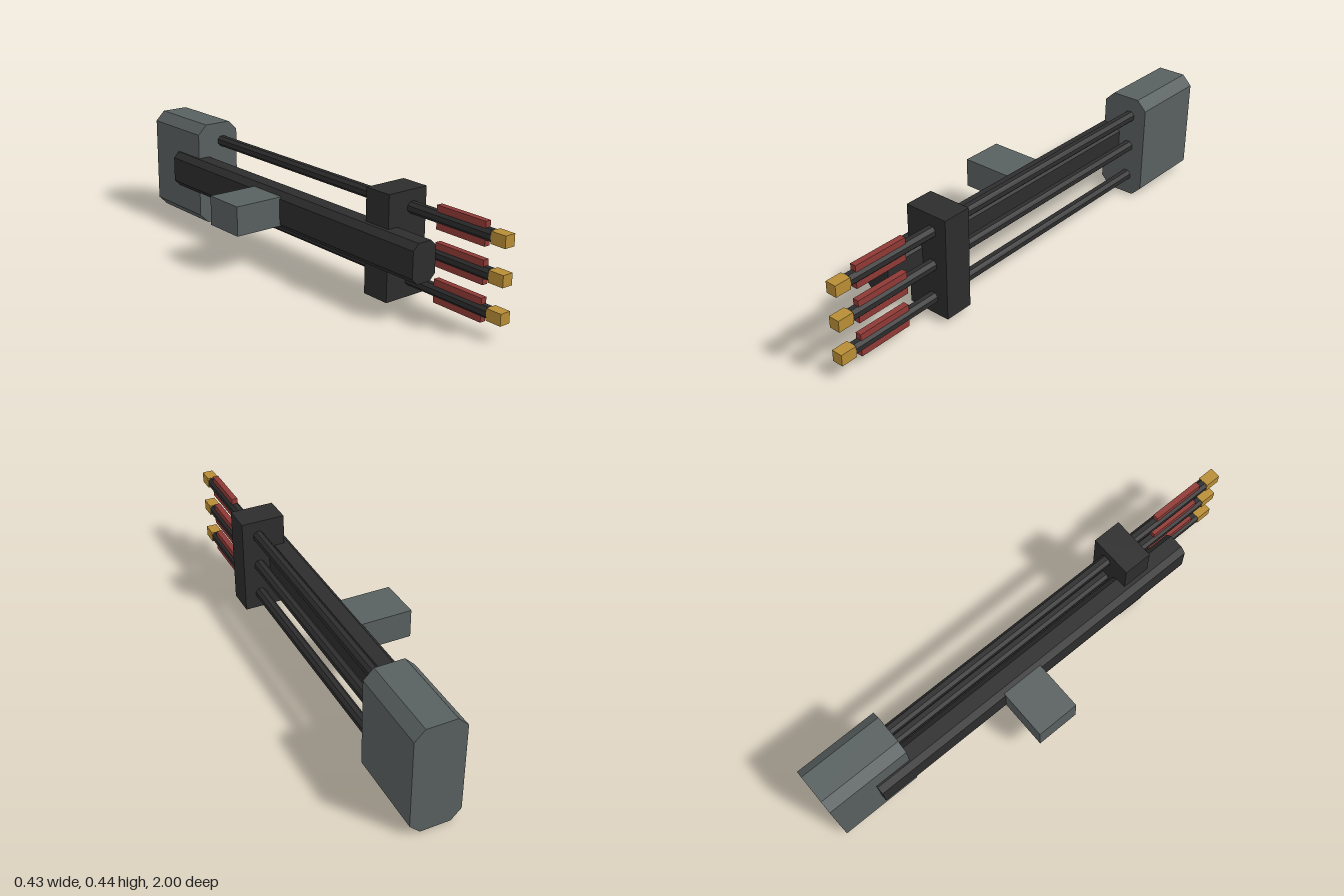
import * as THREE from 'three';

const material = (name, color) => {
  const m = new THREE.MeshStandardMaterial({ color });
  m.name = name;
  return m;
};

export function createModel() {
  const model = new THREE.Group();
  const grey = material('steel grey', 0x596060);
  const black = material('matte black', 0x2d2d2d);
  const red = material('dull red', 0x8f3a36);
  const gold = material('brass', 0xb88d35);

  const add = (parent, name, geometry, mat) => {
    const mesh = new THREE.Mesh(geometry, mat);
    mesh.name = name;
    parent.add(mesh);
    return mesh;
  };

  // Plain block between two corners
  const block = (parent, name, [x0, x1], [y0, y1], [z0, z1], mat) =>
    add(parent, name, new THREE.BoxGeometry(x1 - x0, y1 - y0, z1 - z0), mat)
      .position.set((x0 + x1) / 2, (y0 + y1) / 2, (z0 + z1) / 2);

  // Bar along z whose four long edges are cut at an angle
  const bevelBar = (parent, name, [x0, x1], [y0, y1], [z0, z1], c, mat) => {
    const shape = new THREE.Shape([
      [x0 + c, y0], [x1 - c, y0], [x1, y0 + c], [x1, y1 - c],
      [x1 - c, y1], [x0 + c, y1], [x0, y1 - c], [x0, y0 + c],
    ].map(([x, y]) => new THREE.Vector2(x, y)));
    const geometry = new THREE.ExtrudeGeometry(shape, { depth: z1 - z0, bevelEnabled: false });
    geometry.translate(0, 0, z0);
    add(parent, name, geometry, mat);
  };

  // Body: rear housing, long central beam, side mount and front clamp
  bevelBar(model, 'rearHousing', [0.018, 0.216], [0, 0.442], [-1, -0.655], 0.04, grey);
  bevelBar(model, 'centralBeam', [-0.013, 0.095], [0.146, 0.298], [-0.81, 0.71], 0.024, black);
  block(model, 'sideMount', [-0.217, 0], [0.162, 0.282], [-0.22, -0.04], grey);
  block(model, 'frontClamp', [0.027, 0.209], [0.017, 0.427], [0.42, 0.54], black);

  // Three rods, each with a red fin plate and a brass tip
  const r = 0.022;
  [0.084, 0.222, 0.36].forEach((y, i) => {
    const rod = new THREE.Group();
    rod.name = `rodAssembly${i + 1}`;
    rod.position.set(0.14, y, 0);
    bevelBar(rod, 'rod', [-r, r], [-r, r], [-0.7, 0.94], 0.0125, black);
    block(rod, 'finPlate', [-0.012, 0.012], [-0.045, 0.045], [0.675, 0.902], red);
    block(rod, 'tip', [-0.0225, 0.0225], [-0.0225, 0.0225], [0.935, 1], gold);
    model.add(rod);
  });

  return model;
}
